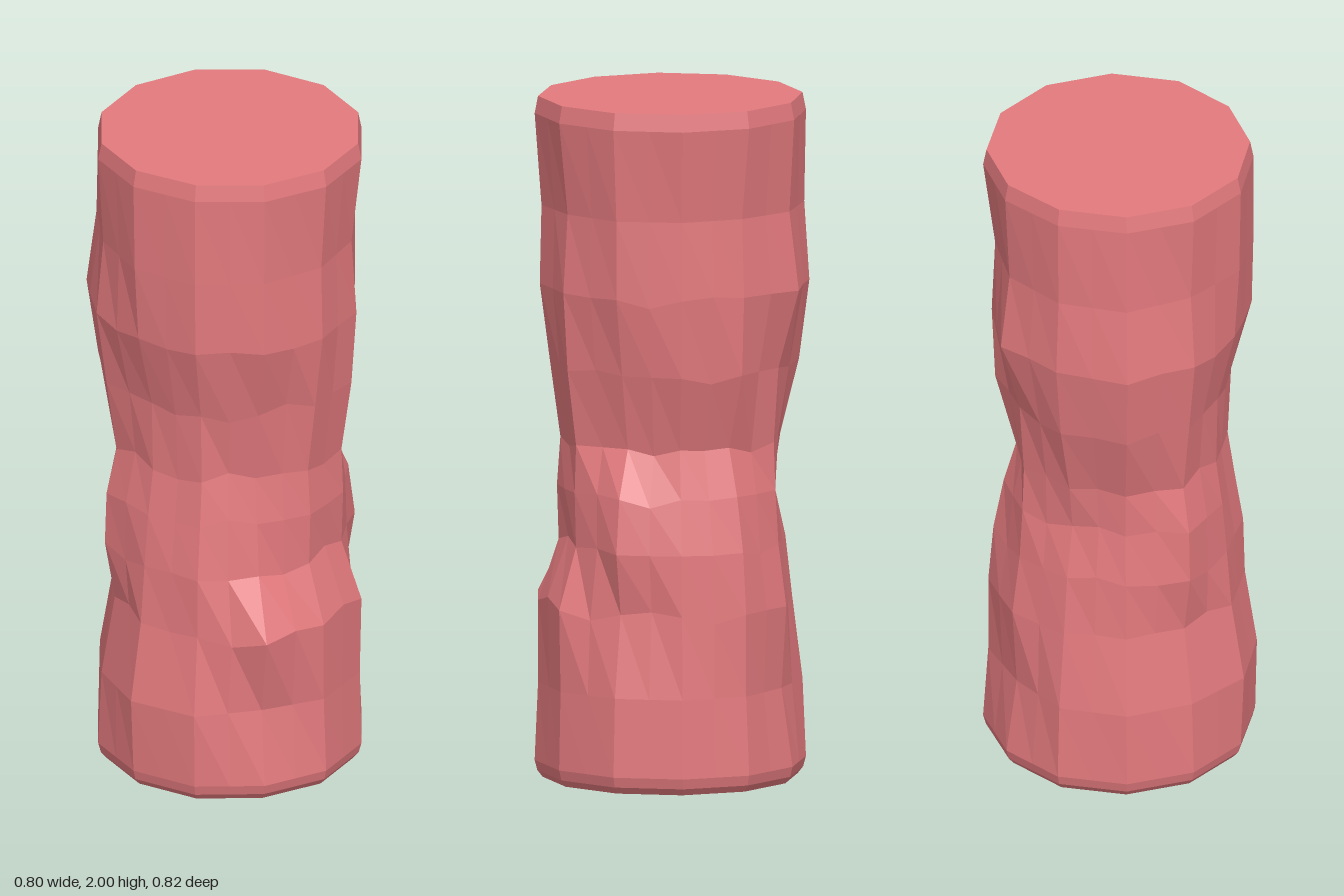
import * as THREE from 'three';

// Ring heights, and the radius at each height along the twelve corners (30 degrees apart)
const HEIGHTS = [0.05, 0.28, 0.52, 0.7, 0.86, 1.0, 1.22, 1.45, 1.68, 1.95];
const CORNERS = [
  [0.39, 0.355, 0.415, 0.325, 0.305, 0.285, 0.32, 0.385, 0.385, 0.39], // front
  [0.395, 0.385, 0.385, 0.325, 0.33, 0.32, 0.35, 0.38, 0.375, 0.395],
  [0.395, 0.39, 0.395, 0.335, 0.34, 0.335, 0.365, 0.38, 0.365, 0.395],
  [0.395, 0.385, 0.345, 0.375, 0.355, 0.295, 0.335, 0.375, 0.375, 0.395], // left
  [0.395, 0.385, 0.365, 0.36, 0.33, 0.295, 0.355, 0.37, 0.365, 0.395],
  [0.395, 0.38, 0.38, 0.365, 0.335, 0.295, 0.36, 0.37, 0.36, 0.395],
  [0.39, 0.355, 0.37, 0.345, 0.335, 0.33, 0.345, 0.41, 0.38, 0.395], // back
  [0.395, 0.385, 0.355, 0.335, 0.3, 0.32, 0.375, 0.405, 0.39, 0.395],
  [0.395, 0.39, 0.35, 0.345, 0.325, 0.33, 0.395, 0.43, 0.4, 0.395],
  [0.395, 0.385, 0.345, 0.375, 0.37, 0.34, 0.37, 0.4, 0.38, 0.395], // right
  [0.395, 0.405, 0.365, 0.35, 0.335, 0.315, 0.32, 0.375, 0.39, 0.395],
  [0.395, 0.4, 0.365, 0.36, 0.335, 0.315, 0.325, 0.385, 0.39, 0.39],
];
const SIDES = CORNERS.length;
const SEGMENTS = SIDES * 2;

function seeded(seed) {
  return () => {
    seed = (seed * 16807) % 2147483647;
    return seed / 2147483647;
  };
}

// One crumpled ring: twelve corners, with a slightly dented point between each pair
function makeRing(k, y, scale, random) {
  const corners = CORNERS.map((radii, c) => {
    const a = (c / SIDES) * Math.PI * 2;
    const r = radii[k] * scale;
    return new THREE.Vector3(Math.sin(a) * r, y, Math.cos(a) * r);
  });
  const crumple = y > 0.4 && y < 1.6 ? 1 : 0;
  const ring = [];
  corners.forEach((p, c) => {
    const mid = p.clone().lerp(corners[(c + 1) % SIDES], 0.5);
    const s = 1 + crumple * (random() - 0.5) * 0.03;
    mid.set(mid.x * s, y + crumple * (random() - 0.5) * 0.05, mid.z * s);
    ring.push(p, mid);
  });
  return ring;
}

function crumpledGeometry() {
  const random = seeded(77);
  const rings = [
    makeRing(0, 0, 0.94, random),
    makeRing(0, 0.02, 0.98, random),
    ...HEIGHTS.map((y, k) => makeRing(k, y, 1, random)),
    makeRing(HEIGHTS.length - 1, 2, 0.975, random),
  ];
  const positions = rings.flat().flatMap((p) => [p.x, p.y, p.z]);
  const bottom = rings.length * SEGMENTS;
  const top = bottom + 1;
  positions.push(0, 0, 0, 0, 2, 0);

  const index = [];
  const at = (j, i) => j * SEGMENTS + (i % SEGMENTS);
  for (let i = 0; i < SEGMENTS; i++) {
    // Wall, with every diagonal slanting the same way like a twisted crease
    for (let j = 0; j < rings.length - 1; j++) {
      const a = at(j, i), b = at(j, i + 1), c = at(j + 1, i + 1), d = at(j + 1, i);
      index.push(a, b, d, b, c, d);
    }
    // Flat ends
    index.push(bottom, at(0, i + 1), at(0, i));
    index.push(top, at(rings.length - 1, i), at(rings.length - 1, i + 1));
  }
  const geometry = new THREE.BufferGeometry();
  geometry.setAttribute('position', new THREE.Float32BufferAttribute(positions, 3));
  geometry.setIndex(index);
  const faceted = geometry.toNonIndexed();
  faceted.computeVertexNormals();
  return faceted;
}

export function createModel() {
  const group = new THREE.Group();
  group.name = 'crumpledCan';
  const material = new THREE.MeshStandardMaterial({ color: 0xe2797d, flatShading: true });
  const body = new THREE.Mesh(crumpledGeometry(), material);
  body.name = 'canBody';
  group.add(body);
  return group;
}
